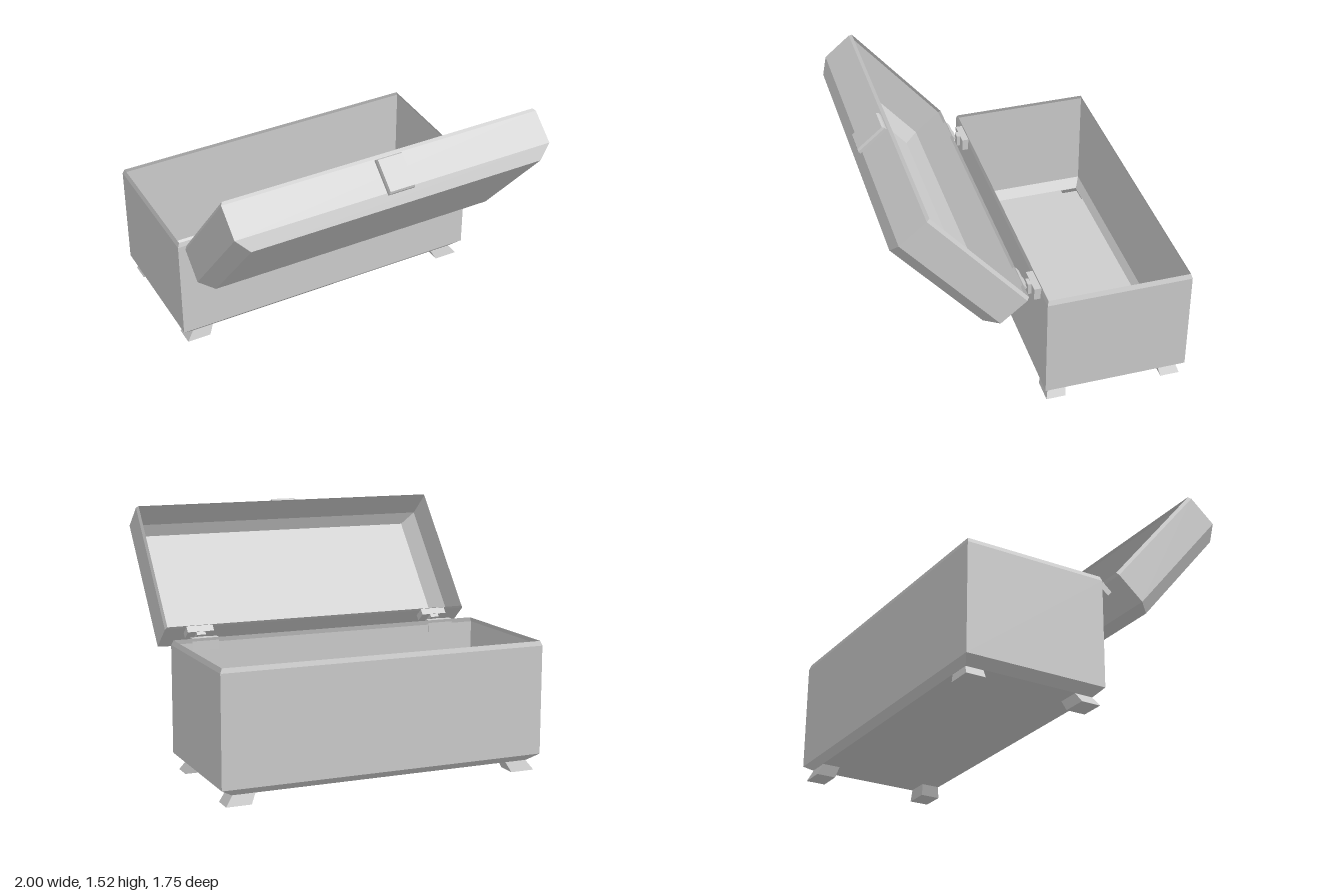
import * as THREE from 'three';

const grey = new THREE.MeshStandardMaterial({ color: 0xcccccc, flatShading: true, side: THREE.DoubleSide });
grey.name = 'light grey';

const W = 1, Z0 = -0.875, Z1 = 0.003; // half width and depth range of the chest

// Horizontal rectangle, counter-clockwise from above
const rect = (y, x0, x1, z0, z1) => [[x0, y, z1], [x1, y, z1], [x1, y, z0], [x0, y, z0]];
// Chest outline pulled in by dx and dz
const outline = (y, dx, dz) => rect(y, -W + dx, W - dx, Z0 + dz, Z1 - dz);

// Skin over stacked rectangles (lowest first), with optional end caps
function loft(name, rings, capBottom, capTop) {
  const pos = [];
  const quad = (a, b, c, d) => pos.push(...a, ...b, ...c, ...a, ...c, ...d);
  for (let r = 0; r + 1 < rings.length; r++) {
    const a = rings[r], b = rings[r + 1];
    for (let i = 0; i < 4; i++) {
      const j = (i + 1) % 4;
      quad(a[i], a[j], b[j], b[i]);
    }
  }
  if (capBottom) quad(...[...rings[0]].reverse());
  if (capTop) quad(...rings[rings.length - 1]);
  const geo = new THREE.BufferGeometry();
  geo.setAttribute('position', new THREE.Float32BufferAttribute(pos, 3));
  geo.computeVertexNormals();
  return named(name, geo);
}

function named(name, geo) {
  const mesh = new THREE.Mesh(geo, grey);
  mesh.name = name;
  return mesh;
}

// Hinge leaf: wide plate against the wall plus a narrow knuckle
function hingeLeaf(name, x, y) {
  const leaf = new THREE.Group();
  leaf.name = name;
  const plate = named('hingePlate', new THREE.BoxGeometry(0.165, 0.075, 0.042));
  plate.position.set(x, y, 0.021);
  const knuckle = named('hingeKnuckle', new THREE.BoxGeometry(0.055, 0.07, 0.022));
  knuckle.position.set(x, y, 0.052);
  leaf.add(plate, knuckle);
  return leaf;
}

export function createModel() {
  const model = new THREE.Group();
  model.name = 'openChest';

  // Thin box walls with a bevelled bottom and rim
  model.add(loft('boxWalls', [
    outline(0.06, 0.07, 0.037), outline(0.1, 0, 0), outline(0.755, 0, 0), outline(0.783, 0.012, 0.008),
  ], false, false));

  // Floor with an opening above each hollow foot
  const floor = new THREE.Shape();
  const trace = (path, x0, x1, z0, z1) => path.moveTo(x0, z0).lineTo(x1, z0).lineTo(x1, z1).lineTo(x0, z1).closePath();
  trace(floor, -0.93, 0.93, Z0 + 0.037, Z1 - 0.037);
  const mid = (Z0 + Z1) / 2;
  for (const sx of [-1, 1]) {
    for (const sz of [-1, 1]) {
      // Foot corners, sloping outward toward the ground
      const span = (inner, outer, s, c) => [c + s * inner, c + s * outer].sort((a, b) => a - b);
      const topX = span(0.79, 0.925, sx, 0), topZ = span(0.29, 0.4, sz, mid);
      const botX = span(0.82, 0.97, sx, 0), botZ = span(0.303, 0.422, sz, mid);
      const hole = new THREE.Path();
      trace(hole, ...topX, ...topZ);
      floor.holes.push(hole);
      model.add(loft('foot', [rect(0, ...botX, ...botZ), rect(0.06, ...topX, ...topZ)], true, false));
    }
  }
  const floorGeo = new THREE.ShapeGeometry(floor);
  floorGeo.rotateX(Math.PI / 2);
  const floorMesh = named('floor', floorGeo);
  floorMesh.position.y = 0.06;
  model.add(floorMesh);

  // Lid, built upright and swung open about the hinge line
  const lid = new THREE.Group();
  lid.name = 'lid';
  lid.add(loft('lidShell', [
    outline(0, 0.012, 0.004), outline(0.02, 0, 0), outline(0.223, 0, 0), outline(0.3, 0.078, 0.037),
  ], false, true));

  // Latch plate on the free edge of the lid
  const latch = loft('latch', [
    rect(0, -0.082, 0.082, -0.105, 0.105),
    rect(0.018, -0.082, 0.082, -0.105, 0.105),
    rect(0.033, -0.076, 0.076, -0.096, 0.096),
  ], true, true);
  latch.rotation.x = -Math.PI / 2;
  latch.position.set(0.008, 0.132, Z0);
  lid.add(latch);

  // Hinges
  for (const x of [-0.777, 0.787]) {
    model.add(hingeLeaf('boxHinge', x, 0.745));
    lid.add(hingeLeaf('lidHinge', x, 0.04));
  }

  lid.position.set(0, 0.84, 0.11);
  lid.rotation.x = THREE.MathUtils.degToRad(129.7);
  model.add(lid);
  return model;
}
